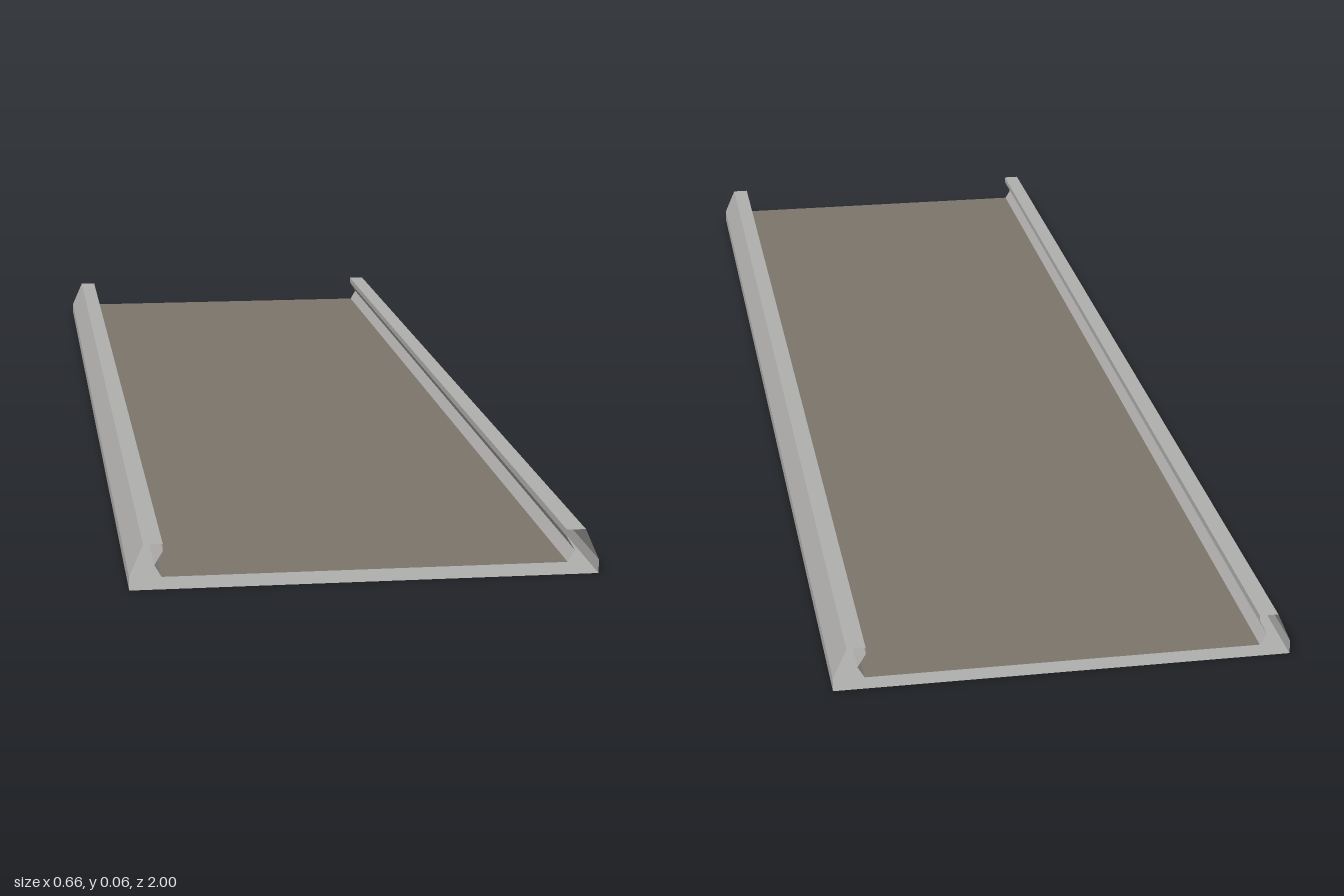
import * as THREE from 'three';

const HALF_LENGTH = 1;

// Sweeps an open section (x, y points, counterclockwise) along z with flat faces and open ends
function sweep(points) {
  const positions = [];
  for (let i = 0; i < points.length - 1; i++) {
    const [ax, ay] = points[i];
    const [bx, by] = points[i + 1];
    const a = [ax, ay, HALF_LENGTH], b = [ax, ay, -HALF_LENGTH];
    const c = [bx, by, -HALF_LENGTH], d = [bx, by, HALF_LENGTH];
    positions.push(...a, ...b, ...c, ...a, ...c, ...d);
  }
  const geometry = new THREE.BufferGeometry();
  geometry.setAttribute('position', new THREE.Float32BufferAttribute(positions, 3));
  geometry.computeVertexNormals();
  return geometry;
}

export function createModel() {
  const gray = new THREE.MeshStandardMaterial({ color: 0xb0afad, side: THREE.DoubleSide });
  gray.name = 'gray metal';
  const brown = new THREE.MeshStandardMaterial({ color: 0x7d756c, side: THREE.DoubleSide });
  brown.name = 'brown deck';

  const model = new THREE.Group();
  model.name = 'channelTray';
  const add = (name, points, material) => {
    const mesh = new THREE.Mesh(sweep(points), material);
    mesh.name = name;
    model.add(mesh);
  };

  // Side rail: outer wall, sloped shoulder, flat top and undercut inner face
  const rail = [[0.33, 0], [0.33, 0.02], [0.31, 0.065], [0.283, 0.065],
    [0.283, 0.055], [0.295, 0.035], [0.285, 0.018]];
  const mirrored = rail.map(([x, y]) => [-x, y]).reverse();

  add('leftRail', rail, gray);
  add('rightRail', mirrored, gray);
  add('underside', [[-0.33, 0], [0.33, 0]], gray);
  add('deck', [[0.285, 0.018], [-0.285, 0.018]], brown);

  return model;
}
